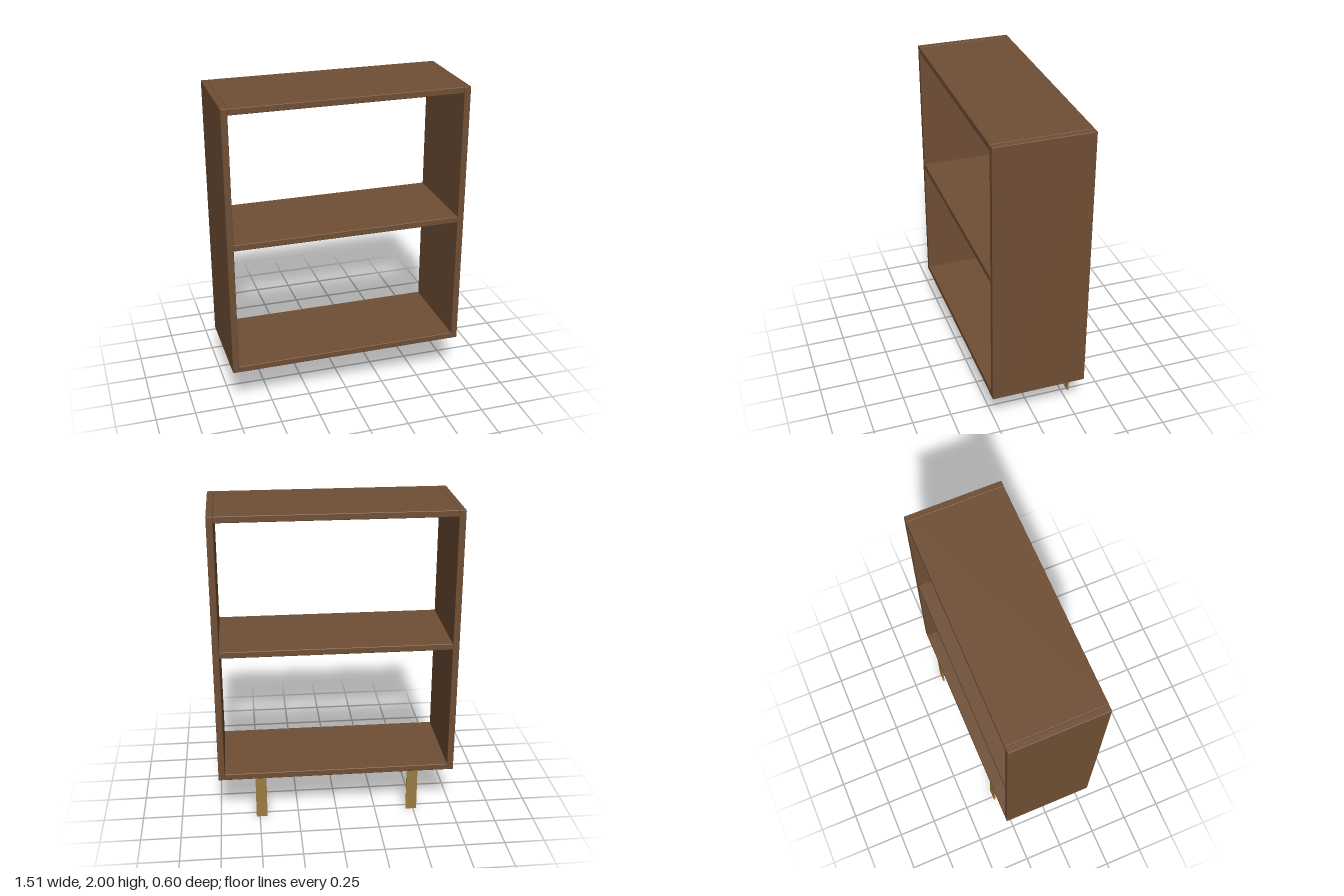
import * as THREE from 'three';
import { RoundedBoxGeometry } from 'three/addons/geometries/RoundedBoxGeometry.js';

export function createModel() {
  const model = new THREE.Group();
  model.name = 'shelfUnit';
  const wood = new THREE.MeshStandardMaterial({ name: 'walnut', color: 0x6f4e34 });
  const brass = new THREE.MeshStandardMaterial({ name: 'brass', color: 0x9b7b42 });

  const add = (parent, name, geometry, material, x, y, z) => {
    const mesh = new THREE.Mesh(geometry, material);
    mesh.name = name;
    mesh.position.set(x, y, z);
    parent.add(mesh);
  };

  // Boards with slightly eased edges
  const depth = 0.6, thick = 0.04, innerWidth = 1.43;
  const board = (w, h) => new RoundedBoxGeometry(w, h, depth, 2, 0.004);
  for (const [name, y] of [['bottomShelf', 0.3], ['middleShelf', 1.14], ['topShelf', 1.98]]) {
    add(model, name, board(innerWidth, thick), wood, 0, y, 0);
  }
  add(model, 'leftSide', board(thick, 1.72), wood, 0.735, 1.14, 0);
  add(model, 'rightSide', board(thick, 1.72), wood, -0.735, 1.14, 0);

  // Curved brace: quarter ring drawn in z-y, extruded along x
  const ring = new THREE.Shape();
  ring.absarc(0, 0, 0.238, Math.PI / 2, Math.PI, false);
  ring.absarc(0, 0, 0.226, Math.PI, Math.PI / 2, true);
  ring.closePath();
  const brace = new THREE.ExtrudeGeometry(ring, { depth: 0.02, bevelEnabled: false, curveSegments: 24 });
  brace.translate(0, 0, -0.01).rotateY(-Math.PI / 2);

  // Rear brackets: upright plate, mounting plate and brace
  for (const [name, x] of [['leftBracket', 0.487], ['rightBracket', -0.487]]) {
    const bracket = new THREE.Group();
    bracket.name = name;
    bracket.position.x = x;
    add(bracket, 'uprightPlate', new THREE.BoxGeometry(0.07, 0.28, 0.01), brass, 0, 0.14, -0.295);
    add(bracket, 'mountingPlate', new THREE.BoxGeometry(0.07, 0.01, 0.3), brass, 0, 0.275, -0.14);
    add(bracket, 'curvedBrace', brace, brass, 0, 0.03, -0.05);
    model.add(bracket);
  }
  return model;
}
